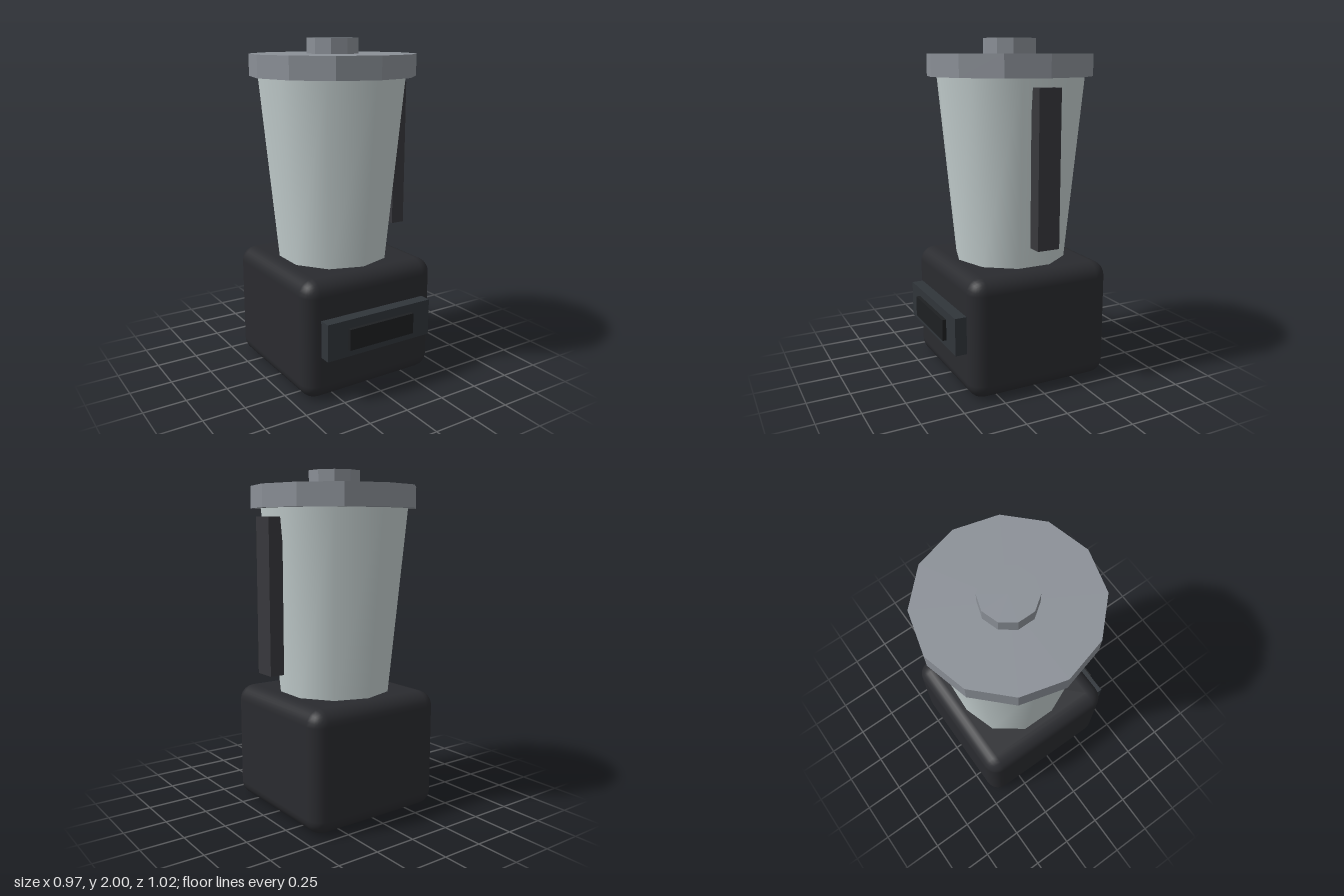
import * as THREE from 'three';
import { RoundedBoxGeometry } from 'three/addons/geometries/RoundedBoxGeometry.js';

const AXIS_Z = -0.025; // shared centre line of base, jar and lid

export function createModel() {
  const blender = new THREE.Group();
  blender.name = 'blender';

  const add = (name, geometry, color, x, y, z, flatShading = false) => {
    const mesh = new THREE.Mesh(geometry, new THREE.MeshStandardMaterial({ color, flatShading }));
    mesh.name = name;
    mesh.position.set(x, y, z);
    blender.add(mesh);
  };

  // Box given by its minimum and maximum corners
  const addBox = (name, color, [x0, y0, z0], [x1, y1, z1]) =>
    add(name, new THREE.BoxGeometry(x1 - x0, y1 - y0, z1 - z0), color,
      (x0 + x1) / 2, (y0 + y1) / 2, (z0 + z1) / 2, true);

  // Upright round part between two heights
  const addRound = (name, color, rTop, rBottom, y0, y1, sides, flat) =>
    add(name, new THREE.CylinderGeometry(rTop, rBottom, y1 - y0, sides), color,
      0, (y0 + y1) / 2, AXIS_Z, flat);

  // Motor base with soft edges
  add('motorBase', new RoundedBoxGeometry(0.886, 0.71, 0.886, 3, 0.09), 0x2a2b2f, 0, 0.355, AXIS_Z);

  // Control panel and its switch on the front
  addBox('controlPanel', 0x30353a, [-0.353, 0.27, 0.38], [0.353, 0.49, 0.487]);
  addBox('controlSwitch', 0x1e2022, [-0.22, 0.315, 0.46], [0.22, 0.44, 0.51]);

  // Tapered jar
  addRound('jar', 0xc4cfcf, 0.44, 0.335, 0.71, 1.79, 10, false);

  // Upright handle on the left side
  addBox('handle', 0x38383c, [0.4, 0.85, -0.09], [0.487, 1.735, 0.045]);

  // Lid and its cap
  addRound('lid', 0x8b9097, 0.487, 0.487, 1.785, 1.912, 12, true);
  addRound('lidCap', 0x8b9097, 0.155, 0.155, 1.9, 2, 10, true);

  return blender;
}
